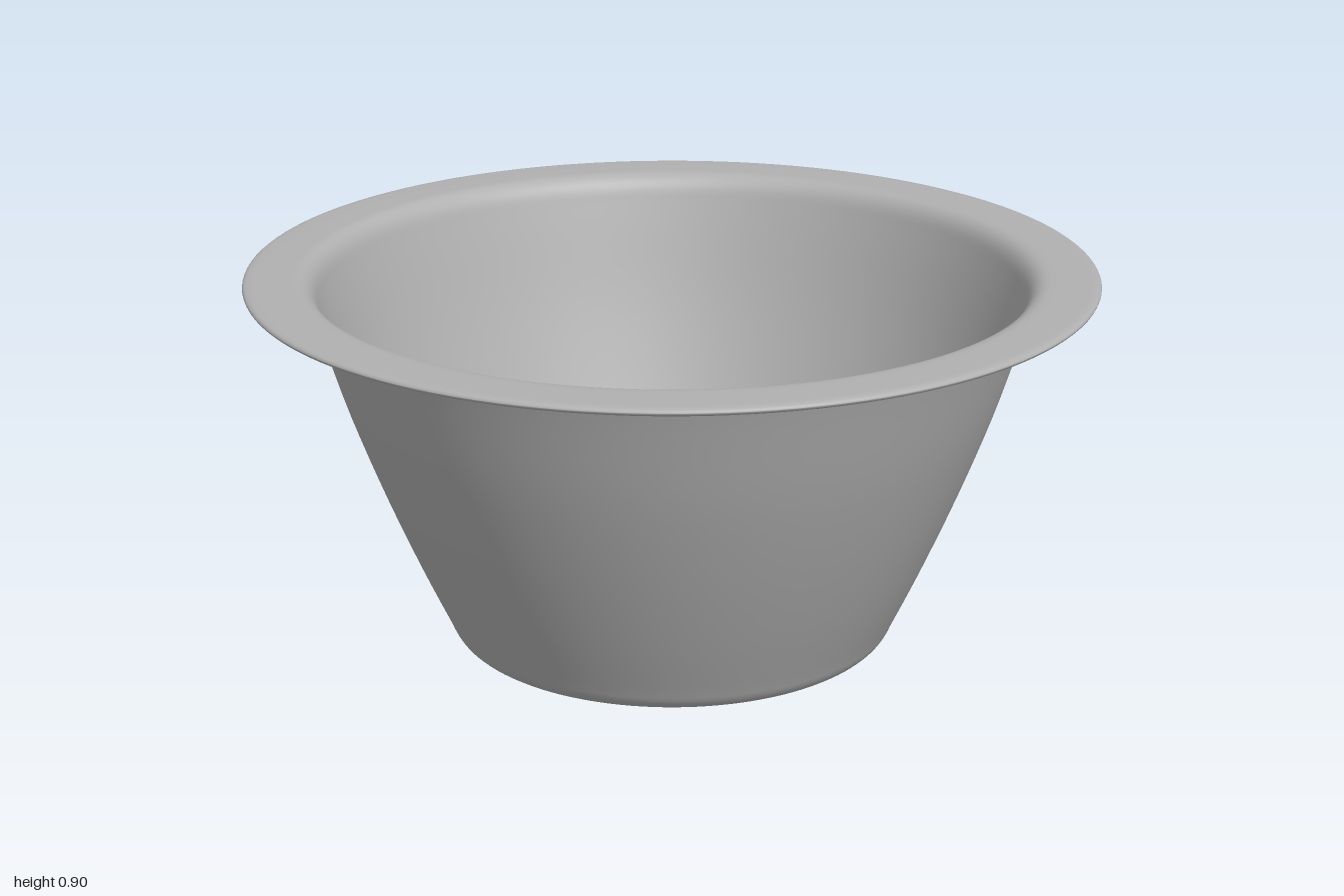
import * as THREE from 'three';

const v = (x, y) => new THREE.Vector2(x, y);

// Quarter-round between two straight runs, a -> corner -> b
const fillet = (a, corner, b, n = 8) =>
  new THREE.QuadraticBezierCurve(v(...a), v(...corner), v(...b)).getPoints(n);

// Gently bowed side wall
const wall = (pts, n = 20) => new THREE.SplineCurve(pts.map((p) => v(...p))).getPoints(n);

export function createModel() {
  const group = new THREE.Group();
  group.name = 'bowl';
  const grey = new THREE.MeshStandardMaterial({ color: 0xb0b0b0 });
  grey.name = 'grey';

  // One closed wall section: underside, outside, rim, inside, floor
  const section = [
    v(0, 0), v(0.47, 0),
    ...fillet([0.485, 0], [0.52, 0], [0.537, 0.04]),
    ...wall([[0.541, 0.05], [0.61, 0.2], [0.69, 0.39], [0.765, 0.59], [0.825, 0.78], [0.843, 0.835]]),
    ...fillet([0.846, 0.845], [0.857, 0.88], [0.895, 0.88]),
    v(0.91, 0.88), v(0.975, 0.88),
    ...fillet([0.985, 0.881], [0.999, 0.883], [1, 0.89], 4),
    ...fillet([1, 0.891], [0.999, 0.898], [0.985, 0.899], 4),
    v(0.975, 0.9), v(0.9, 0.9),
    ...fillet([0.885, 0.9], [0.842, 0.9], [0.828, 0.85]),
    ...wall([[0.825, 0.84], [0.806, 0.78], [0.746, 0.59], [0.671, 0.39], [0.591, 0.2], [0.524, 0.055]]),
    ...fillet([0.52, 0.045], [0.51, 0.02], [0.495, 0.02], 5),
    v(0.485, 0.02), v(0, 0.02),
  ];

  const shell = new THREE.Mesh(new THREE.LatheGeometry(section, 128), grey);
  shell.name = 'bowlShell';
  group.add(shell);
  return group;
}
